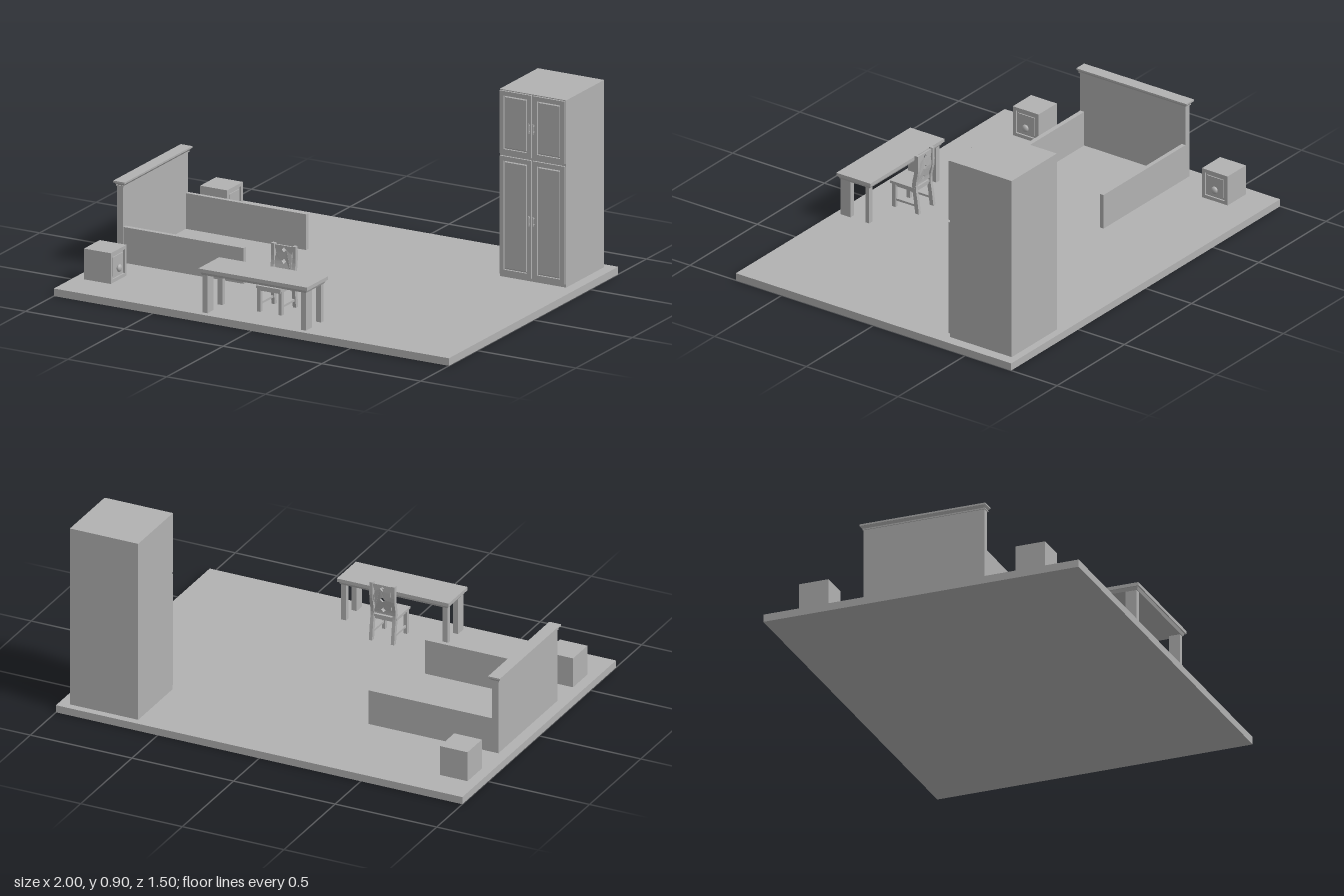
import * as THREE from 'three';

const plaster = new THREE.MeshStandardMaterial({ color: 0xb2b2b2 });
plaster.name = 'plain grey';

const FLOOR = 0.035;

function add(parent, name, geometry) {
  const mesh = new THREE.Mesh(geometry, plaster);
  mesh.name = name;
  parent.add(mesh);
  return mesh;
}

// Box given by its limits on each axis
function block(parent, name, x0, x1, y0, y1, z0, z1) {
  const mesh = add(parent, name, new THREE.BoxGeometry(x1 - x0, y1 - y0, z1 - z0));
  mesh.position.set((x0 + x1) / 2, (y0 + y1) / 2, (z0 + z1) / 2);
  return mesh;
}

// Box whose lower face is drawn in by `inset` on all sides
function flared(parent, name, x0, x1, y0, y1, z0, z1, inset) {
  const mesh = block(parent, name, x0, x1, y0, y1, z0, z1);
  const p = mesh.geometry.attributes.position;
  for (let i = 0; i < p.count; i++) {
    if (p.getY(i) < 0) {
      p.setX(i, p.getX(i) - Math.sign(p.getX(i)) * inset);
      p.setZ(i, p.getZ(i) - Math.sign(p.getZ(i)) * inset);
    }
  }
  mesh.geometry.computeVertexNormals();
  return mesh;
}

function rectangle(target, w, h) {
  target.moveTo(-w / 2, -h / 2);
  target.lineTo(w / 2, -h / 2);
  target.lineTo(w / 2, h / 2);
  target.lineTo(-w / 2, h / 2);
  target.closePath();
  return target;
}

// Picture-frame shape, extruded towards +z
function frame(w, h, border, depth) {
  const shape = rectangle(new THREE.Shape(), w, h);
  shape.holes.push(rectangle(new THREE.Path(), w - 2 * border, h - 2 * border));
  return new THREE.ExtrudeGeometry(shape, { depth, bevelEnabled: false });
}

function makeFloor(root) {
  block(root, 'floor', -1, 1, 0, FLOOR, -0.75, 0.75);
}

function makeWardrobe(root) {
  const g = new THREE.Group();
  g.name = 'wardrobe';
  root.add(g);
  const face = -0.378;
  block(g, 'wardrobeBody', 0.613, 0.949, FLOOR, 0.9, -0.715, face);
  for (const [y0, y1, handleY] of [[0.05, 0.595, 0.318], [0.607, 0.896, 0.745]]) {
    for (const side of [-1, 1]) {
      const cx = 0.781 + side * 0.084, cy = (y0 + y1) / 2, w = 0.16, h = y1 - y0;
      add(g, 'doorFrame', frame(w, h, 0.021, 0.009)).position.set(cx, cy, face);
      // Raised centre panel with sloped edges
      const panel = flared(g, 'doorPanel', -0.053, 0.053, -0.003, 0.003, -h / 2 + 0.028, h / 2 - 0.028, -0.004);
      panel.rotation.x = Math.PI / 2;
      panel.position.set(cx, cy, face + 0.003);
      // Bar handle on two short posts
      const hx = 0.781 + side * 0.011;
      const bar = add(g, 'doorHandle', new THREE.CylinderGeometry(0.003, 0.003, 0.046, 10));
      bar.position.set(hx, handleY, -0.359);
      for (const dy of [-0.014, 0.014]) {
        block(g, 'handlePost', hx - 0.002, hx + 0.002, handleY + dy - 0.002, handleY + dy + 0.002, -0.37, -0.359);
      }
    }
  }
}

function makeBed(root) {
  const g = new THREE.Group();
  g.name = 'bedFrame';
  root.add(g);
  block(g, 'headboard', -0.948, -0.917, FLOOR, 0.392, -0.295, 0.28);
  block(g, 'headboardMoulding', -0.952, -0.913, 0.385, 0.391, -0.299, 0.284);
  flared(g, 'headboardCornice', -0.96, -0.905, 0.391, 0.402, -0.307, 0.288, 0.008);
  block(g, 'headboardCap', -0.962, -0.904, 0.402, 0.41, -0.309, 0.29);
  block(g, 'sideRail', -0.917, -0.308, FLOOR, 0.2, -0.295, -0.275);
  block(g, 'sideRail', -0.917, -0.308, FLOOR, 0.2, 0.257, 0.279);
}

function makeNightstand(root, z) {
  const g = new THREE.Group();
  g.name = 'nightstand';
  root.add(g);
  block(g, 'nightstandBody', -0.95, -0.822, FLOOR, 0.177, z - 0.07, z + 0.07);
  const front = add(g, 'nightstandFrame', frame(0.14, 0.142, 0.016, 0.008));
  front.rotation.y = Math.PI / 2;
  front.position.set(-0.822, 0.106, z);
  block(g, 'drawerFront', -0.822, -0.817, 0.062, 0.15, z - 0.045, z + 0.045);
  const knob = add(g, 'drawerKnob', new THREE.SphereGeometry(0.017, 16, 10));
  knob.scale.x = 0.6;
  knob.position.set(-0.811, 0.09, z);
}

function makeTable(root) {
  const g = new THREE.Group();
  g.name = 'table';
  root.add(g);
  block(g, 'tableTop', -0.277, 0.273, 0.224, 0.24, 0.55, 0.735);
  flared(g, 'tableApron', -0.272, 0.268, 0.21, 0.224, 0.555, 0.73, 0.006);
  for (const [x0, x1] of [[-0.264, -0.239], [0.235, 0.26]]) {
    block(g, 'frontTableLeg', x0, x1, FLOOR, 0.212, 0.668, 0.721);
    block(g, 'backTableLeg', x0, x1, FLOOR, 0.212, 0.566, 0.587);
  }
}

// Gentle S-curve of the chair back: depth at a given height
const backCurve = new THREE.SplineCurve([
  new THREE.Vector2(0.451, 0.035), new THREE.Vector2(0.459, 0.1), new THREE.Vector2(0.468, 0.17),
  new THREE.Vector2(0.456, 0.24), new THREE.Vector2(0.456, 0.317),
]);

function makeChair(root) {
  const g = new THREE.Group();
  g.name = 'chair';
  root.add(g);
  block(g, 'seat', -0.064, 0.062, 0.146, 0.158, 0.462, 0.598);
  block(g, 'seatRail', -0.056, 0.054, 0.134, 0.146, 0.468, 0.59);

  // Curved rear posts, running from the floor to the top of the back
  const pts = backCurve.getPoints(16);
  const outline = [
    ...pts.map(p => new THREE.Vector2(-p.x - 0.01, p.y)),
    ...pts.slice().reverse().map(p => new THREE.Vector2(-p.x + 0.01, p.y)),
  ];
  for (const x of [-0.063, 0.045]) {
    const post = add(g, 'rearPost', new THREE.ExtrudeGeometry(new THREE.Shape(outline), { depth: 0.016, bevelEnabled: false }));
    post.rotation.y = Math.PI / 2;
    post.position.x = x;
    block(g, 'frontChairLeg', x, x + 0.016, FLOOR, 0.146, 0.568, 0.588);
    block(g, 'sideStretcher', x + 0.004, x + 0.012, 0.066, 0.076, 0.462, 0.575);
  }

  // Back panel with wavy sides and three diamond openings
  const cx = -0.001, sides = [];
  for (let i = 0; i <= 20; i++) {
    const t = i / 20;
    sides.push(new THREE.Vector2(0.044 + 0.005 * Math.cos(t * Math.PI * 4), 0.165 + t * 0.147));
  }
  const panel = new THREE.Shape([
    ...sides.map(p => new THREE.Vector2(cx + p.x, p.y)),
    ...sides.slice().reverse().map(p => new THREE.Vector2(cx - p.x, p.y)),
  ]);
  for (const y of [0.187, 0.24, 0.293]) {
    const r = 0.012;
    panel.holes.push(new THREE.Path([[0, -r], [-r, 0], [0, r], [r, 0]].map(([a, b]) => new THREE.Vector2(cx + a, y + b))));
  }
  const geo = new THREE.ExtrudeGeometry(panel, { depth: 0.009, bevelEnabled: false });
  const p = geo.attributes.position;
  for (let i = 0; i < p.count; i++) {
    const y = p.getY(i);
    const k = pts.findIndex(q => q.y >= y - 1e-6);
    const a = pts[Math.max(k - 1, 0)], b = pts[Math.max(k, 1)];
    p.setZ(i, p.getZ(i) - 0.005 + THREE.MathUtils.mapLinear(y, a.y, b.y, a.x, b.x));
  }
  geo.computeVertexNormals();
  add(g, 'backPanel', geo);
}

export function createModel() {
  const root = new THREE.Group();
  root.name = 'bedroom';
  makeFloor(root);
  makeWardrobe(root);
  makeBed(root);
  makeNightstand(root, -0.53);
  makeNightstand(root, 0.5);
  makeTable(root);
  makeChair(root);
  return root;
}
